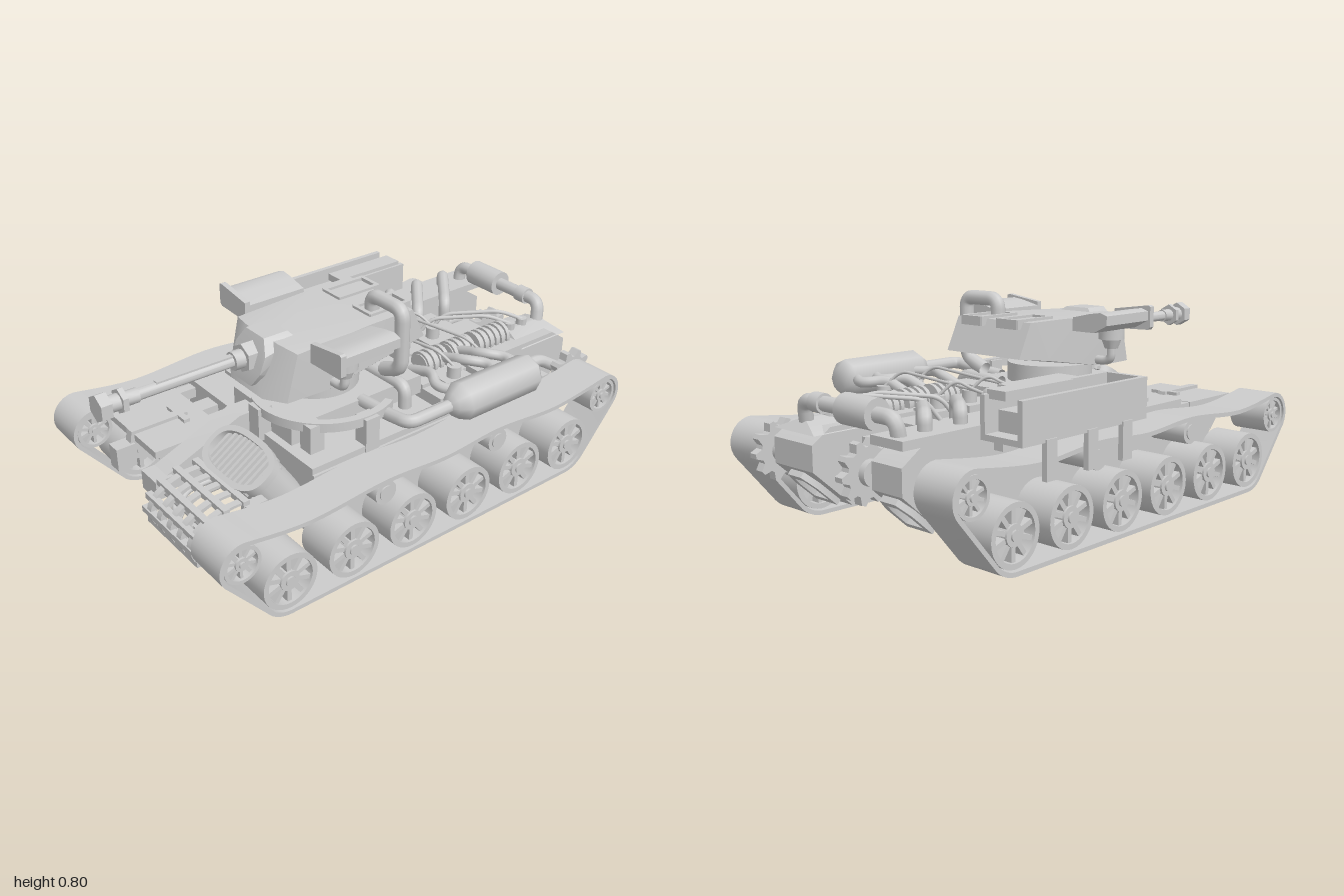
import * as THREE from 'three';
import { toCreasedNormals } from 'three/addons/utils/BufferGeometryUtils.js';
import { ConvexGeometry } from 'three/addons/geometries/ConvexGeometry.js';

const V = (x, y, z) => new THREE.Vector3(x, y, z);
const P = (x, y) => new THREE.Vector2(x, y);
const mat = new THREE.MeshStandardMaterial({ color: 0xcccccc, side: THREE.DoubleSide });

export function createModel() {
  const root = new THREE.Group();
  root.name = 'tank';

  const add = (name, geo, parent = root, smooth = false) => {
    const m = new THREE.Mesh(smooth ? geo : toCreasedNormals(geo, 0.6), mat);
    m.name = name;
    parent.add(m);
    return m;
  };
  const box = (name, x0, x1, y0, y1, z0, z1, parent) =>
    add(name, new THREE.BoxGeometry(x1 - x0, y1 - y0, z1 - z0)
      .translate((x0 + x1) / 2, (y0 + y1) / 2, (z0 + z1) / 2), parent);
  // cylinder between two points
  const rod = (name, a, b, r, sides = 20, r2 = r, parent = root) => {
    const d = b.clone().sub(a);
    const m = add(name, new THREE.CylinderGeometry(r2, r, d.length(), sides), parent);
    m.position.copy(a).add(b).multiplyScalar(0.5);
    m.quaternion.setFromUnitVectors(V(0, 1, 0), d.normalize());
  };
  // pipe through points with rounded corners
  const pipe = (name, pts, r, bend = 0.04) => {
    const v = pts.map(p => V(...p)), path = new THREE.CurvePath();
    let from = v[0];
    for (let i = 1; i < v.length - 1; i++) {
      const cut = q => v[i].clone().add(q.clone().sub(v[i]).setLength(Math.min(bend, v[i].distanceTo(q) * 0.45)));
      const a = cut(v[i - 1]), b = cut(v[i + 1]);
      path.add(new THREE.LineCurve3(from, a));
      path.add(new THREE.QuadraticBezierCurve3(a, v[i], b));
      from = b;
    }
    path.add(new THREE.LineCurve3(from, v[v.length - 1]));
    add(name, new THREE.TubeGeometry(path, 12 * v.length, r, 10), root, true);
  };
  // side profile given as (z, y), extruded from x0 to x1
  const profileX = (name, pts, x0, x1, hole, parent) => {
    const s = new THREE.Shape(pts);
    if (hole) s.holes.push(new THREE.Path(hole));
    add(name, new THREE.ExtrudeGeometry(s, { depth: x1 - x0, bevelEnabled: false })
      .rotateY(-Math.PI / 2).translate(x1, 0, 0), parent);
  };
  const yz = list => list.map(([z, y]) => P(z, y));

  // ---- running gear ----
  const trackLoop = t => {
    const pts = [];
    const arc = (cz, cy, r, a0, a1) => {
      for (let i = 0; i <= 10; i++) {
        const a = THREE.MathUtils.degToRad(a0 + (a1 - a0) * i / 10);
        pts.push(P(cz + (r - t) * Math.cos(a), cy + (r - t) * Math.sin(a)));
      }
    };
    arc(0.83, 0.287, 0.09, 90, -48);
    arc(0.65, 0.125, 0.125, -48, -90);
    arc(-0.68, 0.125, 0.125, -90, -138);
    arc(-0.86, 0.287, 0.09, -138, -270);
    const top = new THREE.SplineCurve(yz([[-0.86, 0.377], [-0.58, 0.345], [-0.28, 0.366],
      [-0.02, 0.35], [0.25, 0.366], [0.57, 0.345], [0.83, 0.377]]));
    top.getPoints(36).slice(1, -1).forEach(p => pts.push(P(p.x, p.y - t)));
    return pts;
  };
  const wheel = (name, parent, z, y, R) => {
    const g = new THREE.Group();
    g.name = name;
    g.position.set(0, y, z);
    g.scale.set(1, R, R);
    parent.add(g);
    const ring = [P(0.82, -0.078), P(1, -0.078), P(1, 0.078), P(0.82, 0.078), P(0.82, -0.078)];
    add('rim', new THREE.LatheGeometry(ring, 32).rotateZ(Math.PI / 2), g);
    add('disc', new THREE.CylinderGeometry(0.84, 0.84, 0.06, 32).rotateZ(Math.PI / 2), g);
    add('hub', new THREE.CylinderGeometry(0.35, 0.35, 0.15, 20).rotateZ(Math.PI / 2), g);
    add('axleCap', new THREE.CylinderGeometry(0.18, 0.18, 0.164, 12).rotateZ(Math.PI / 2), g);
    for (let i = 0; i < 10; i++)
      add('spoke', new THREE.BoxGeometry(0.135, 0.56, 0.16).translate(0, 0.57, 0).rotateX(i * Math.PI / 5), g);
  };
  for (const [name, cx] of [['left', 0.506], ['right', -0.484]]) {
    const g = new THREE.Group();
    g.name = name + 'RunningGear';
    g.position.x = cx;
    root.add(g);
    profileX('track', trackLoop(0), -0.084, 0.084, trackLoop(0.016), g);
    for (let i = 0; i < 6; i++) wheel('roadWheel', g, 0.65 - i * 0.266, 0.13, 0.108);
    wheel('idlerWheel', g, 0.83, 0.287, 0.07);
    wheel('driveWheel', g, -0.86, 0.287, 0.07);
    for (const z of [0.25, -0.28]) {
      rod('returnRoller', V(-0.078, 0.308, z), V(0.078, 0.308, z), 0.045, 24, 0.045, g);
      rod('rollerCap', V(-0.083, 0.308, z), V(0.083, 0.308, z), 0.028, 20, 0.028, g);
    }
  }

  // ---- hull: slightly recessed rear floor between skirts ----
  profileX('hull', yz([[0.43, 0.12], [-0.66, 0.12], [-0.72, 0.17], [-0.72, 0.36], [0.43, 0.36]]), -0.39, 0.42);
  box('frontBelly', -0.39, 0.42, 0.1, 0.13, 0.05, 0.43);
  for (const x of [-0.39, 0.38]) box('hullSkirt', x, x + 0.04, 0.1, 0.13, -0.66, 0.06);
  box('frontDeck', -0.39, 0.41, 0.36, 0.385, -0.1, 0.43);
  box('turretBase', -0.11, 0.25, 0.385, 0.46, -0.2, 0.4);
  rod('turretRing', V(0.015, 0.45, 0.12), V(0.015, 0.53, 0.12), 0.165, 32);
  box('deckHatch', -0.33, -0.15, 0.385, 0.4, 0.06, 0.3);
  box('engineWallRight', -0.39, -0.37, 0.36, 0.42, -0.7, -0.1);
  box('engineWallLeft', 0.39, 0.41, 0.36, 0.42, -0.62, -0.1);
  // curved guard rail beside the turret
  const arcShape = new THREE.Shape();
  arcShape.absarc(0, 0, 0.27, -0.5, 1.9, false);
  arcShape.absarc(0, 0, 0.24, 1.9, -0.5, true);
  add('guardRail', new THREE.ExtrudeGeometry(arcShape, { depth: 0.035, bevelEnabled: false, curveSegments: 20 })
    .rotateX(Math.PI / 2).translate(0.13, 0.495, 0.17));
  for (const a of [0, 0.8, 1.7]) {
    const x = 0.13 + 0.255 * Math.cos(a), z = 0.17 + 0.255 * Math.sin(a);
    box('railPost', x - 0.03, x + 0.03, 0.36, 0.49, z - 0.03, z + 0.03);
  }

  // front stowage chest, undercut, with planked face
  profileX('frontChest', yz([[0.43, 0.1], [0.5, 0.35], [0.76, 0.35], [0.76, 0.32], [0.54, 0.1]]), -0.37, -0.045);
  box('chestLid', -0.385, -0.035, 0.335, 0.362, 0.5, 0.78);
  const face = (t, out) => P(0.54 + 0.22 * t + 0.7 * out, 0.1 + 0.22 * t - 0.7 * out);
  for (let i = 0; i < 5; i++) {
    const a = 0.06 + i * 0.18, b = a + 0.165;
    profileX('chestPlank', [face(a, 0), face(b, 0), face(b, 0.01), face(a, 0.01)], -0.365, -0.05);
  }
  profileX('chestStrap', yz([[0.5, 0.11], [0.56, 0.375], [0.79, 0.375], [0.8, 0.32], [0.57, 0.1]]), -0.22, -0.185);
  box('strapBar', -0.265, -0.14, 0.36, 0.375, 0.575, 0.6);
  box('strapLatch', -0.232, -0.175, 0.24, 0.33, 0.785, 0.86);
  for (const [x0, x1] of [[-0.38, -0.34], [-0.25, -0.18], [-0.14, -0.09]]) box('chestHinge', x0, x1, 0.32, 0.36, 0.42, 0.52);
  // central nose beam and tow block
  profileX('noseBeam', yz([[0.4, 0.2], [0.4, 0.44], [0.48, 0.44], [0.8, 0.31], [0.8, 0.25], [0.6, 0.25]]), -0.035, 0.05);
  box('towBlock', -0.035, 0.065, 0.24, 0.315, 0.77, 0.84);
  rod('towBar', V(0, 0.28, 0.81), V(0.42, 0.28, 0.81), 0.016, 12);
  box('frontBracket', 0.38, 0.42, 0.25, 0.35, 0.62, 0.7);

  // bowed lattice guard
  const guard = new THREE.SplineCurve(yz([[0.68, 0.36], [0.79, 0.355], [0.88, 0.31], [0.905, 0.24], [0.85, 0.16], [0.72, 0.11]]));
  const shrink = (p, k) => P(0.6 + (p.x - 0.6) * k, 0.24 + (p.y - 0.24) * k);
  const outer = guard.getPoints(16);
  const inner = outer.map(p => shrink(p, 0.92)).reverse();
  for (let i = 0; i < 5; i++) profileX('guardUpright', [...outer, ...inner], 0.112 + i * 0.064, 0.138 + i * 0.064);
  for (let i = 0; i < 8; i++) {
    const p = shrink(guard.getPoint(0.04 + i * 0.131), 0.97);
    box('guardBar', 0.085, 0.405, p.y - 0.011, p.y + 0.011, p.x - 0.012, p.x + 0.012);
  }
  for (const y of [0.14, 0.18, 0.22]) pipe('guardStrut', [[0.02, y + 0.02, 0.42], [0.02, y + 0.02, 0.7], [0.1, y - 0.01, 0.8], [0.14, y - 0.01, 0.8]], 0.012);

  // oval slatted basket, tipped forward
  const basket = new THREE.Group();
  basket.name = 'basket';
  basket.position.set(0.235, 0.405, 0.605);
  basket.rotation.x = 0.58;
  root.add(basket);
  const oval = (rx, ry) => Array.from({ length: 40 }, (_, i) => {
    const a = i * Math.PI / 20, f = v => Math.sign(v) * Math.abs(v) ** 0.75;
    return P(rx * f(Math.cos(a)), ry * f(Math.sin(a)));
  });
  const hoop = (name, rx, ry, t, depth, y) => {
    const s = new THREE.Shape(oval(rx, ry));
    s.holes.push(new THREE.Path(oval(rx - t, ry - t)));
    add(name, new THREE.ExtrudeGeometry(s, { depth, bevelEnabled: false }).rotateX(Math.PI / 2).translate(0, y, 0), basket);
  };
  hoop('basketWall', 0.158, 0.088, 0.012, 0.22, 0);
  hoop('basketRim', 0.168, 0.096, 0.022, 0.03, 0.015);
  box('basketFloor', -0.13, 0.13, -0.05, -0.04, -0.07, 0.07, basket);
  for (let i = -5; i <= 5; i++) box('basketSlat', i * 0.025 - 0.006, i * 0.025 + 0.006, -0.015, 0, -0.08, 0.08, basket);

  // ---- turret ----
  const hullOf = (name, pts) => add(name, new ConvexGeometry(pts.flatMap(([x, y, z]) => [V(0.015 + x, y, z), V(0.015 - x, y, z)])));
  hullOf('turretBody', [[0.1, 0.52, 0.425], [0.18, 0.52, 0.375], [0.19, 0.52, 0.2], [0.19, 0.57, -0.1],
    [0.1, 0.71, 0.35], [0.185, 0.7, 0.33], [0.185, 0.715, 0], [0.185, 0.715, -0.19], [0.185, 0.59, -0.25]]);
  hullOf('mantlet', [[0.045, 0.55, 0.435], [0.09, 0.61, 0.425], [0.09, 0.67, 0.4], [0.055, 0.725, 0.38],
    [0.055, 0.725, 0.28], [0.09, 0.7, 0.26], [0.045, 0.55, 0.3]]);
  // rear roof vents
  for (const x of [-0.08, 0.1]) {
    box('ventPanel', x - 0.03, x + 0.03, 0.69, 0.717, -0.2, -0.05);
    for (const s of [-1, 1]) {
      box('ventFrameSide', x + s * 0.045 - 0.008, x + s * 0.045 + 0.008, 0.69, 0.725, -0.22, -0.03);
      box('ventFrameEnd', x - 0.05, x + 0.05, 0.69, 0.725, -0.125 + s * 0.09 - 0.008, -0.125 + s * 0.09 + 0.008);
    }
  }
  // gun: [start z, end z, radius, sides]
  for (const [z0, z1, r, n] of [[0.36, 0.44, 0.055, 6], [0.43, 0.48, 0.035, 12], [0.47, 0.89, 0.021, 16], [0.85, 0.9, 0.026, 12],
    [0.9, 0.92, 0.046, 6], [0.91, 0.965, 0.03, 12], [0.96, 1, 0.05, 6]]) rod('gunSection', V(0.015, 0.645, z0), V(0.015, 0.645, z1), r, n);
  box('barrelRail', 0.005, 0.025, 0.655, 0.67, 0.4, 0.78);
  // side pods: front plate, arched body, cup and feed pipe
  for (const s of [-1, 1]) {
    const X = d => 0.014 + s * d;
    const slab = (name, pts, z, depth) => {
      const shape = new THREE.Shape(pts.map(([d, y]) => P(X(d), y)));
      add(name, new THREE.ExtrudeGeometry(shape, { depth, bevelEnabled: false }).translate(0, 0, z));
    };
    slab('podFrontPlate', [[0.2, 0.66], [0.36, 0.665], [0.37, 0.675], [0.37, 0.752], [0.36, 0.757], [0.2, 0.735]], 0.265, 0.022);
    slab('podBody', [[0.2, 0.67], [0.3, 0.67], [0.36, 0.7], [0.36, 0.735], [0.33, 0.745], [0.28, 0.738], [0.2, 0.72]], 0.02, 0.25);
    rod('podCollar', V(X(0.255), 0.63, 0.18), V(X(0.255), 0.672, 0.18), 0.048);
    rod('podCup', V(X(0.255), 0.595, 0.18), V(X(0.255), 0.635, 0.18), 0.025, 20, 0.04);
    pipe('podPipe', [[X(0.255), 0.61, 0.18], [X(0.255), 0.545, 0.18], [X(0.15), 0.545, 0.18]], 0.017);
  }
  pipe('snorkel', [[0.105, 0.68, -0.075], [0.105, 0.775, -0.075], [0.275, 0.775, -0.075], [0.275, 0.54, -0.075], [0.18, 0.5, -0.075]], 0.028);

  // ---- side stowage tray, open at the rear ----
  box('trayFloor', -0.59, -0.41, 0.41, 0.43, -0.68, -0.06);
  box('trayOuterWall', -0.59, -0.57, 0.41, 0.555, -0.68, -0.06);
  box('trayInnerWall', -0.43, -0.41, 0.41, 0.555, -0.68, -0.06);
  box('trayFrontEnd', -0.58, -0.42, 0.42, 0.555, -0.08, -0.06);
  box('trayLoad', -0.56, -0.43, 0.43, 0.5, -0.62, -0.1);
  box('trayLid', -0.5, -0.42, 0.54, 0.57, -0.66, -0.34);
  for (const z of [-0.55, -0.35, -0.17]) box('trayLeg', -0.595, -0.575, 0.285, 0.42, z - 0.025, z + 0.025);
  box('trayBracket', -0.43, -0.37, 0.36, 0.43, -0.6, -0.15);
  // octagonal fuel tank and feed
  const tank = [P(0, -0.53), P(0.045, -0.53), P(0.074, -0.5), P(0.074, -0.16), P(0.045, -0.12), P(0.02, -0.1), P(0, -0.1)];
  add('fuelTank', new THREE.LatheGeometry(tank, 8).rotateX(Math.PI / 2).translate(0.5, 0.478, 0), root, true);
  pipe('fuelFeed', [[0.5, 0.478, -0.12], [0.5, 0.478, 0.08], [0.38, 0.46, 0.08], [0.24, 0.45, 0.08]], 0.024);
  for (const z of [-0.47, -0.38, -0.22])
    pipe('tankPipe', [[0.18, 0.45, z + 0.01], [0.3, 0.49, z + 0.01], [0.37, 0.48, z > -0.3 ? z + 0.06 : z - 0.06], [0.47, 0.48, z]], 0.02);
  pipe('coolantPipe', [[0.08, 0.46, -0.085], [0.29, 0.47, -0.085], [0.29, 0.38, -0.085]], 0.025);

  // ---- engine bay and rear ----
  const horn = yz([[-0.62, 0.14], [-0.2, 0.36], [-0.2, 0.42], [-0.91, 0.42], [-0.985, 0.37], [-0.985, 0.28], [-0.83, 0.14]]);
  const dLoop = (w, h) => [P(-w, -h), P(w, -h), P(w, h * 0.3), P(w * 0.6, h), P(-w * 0.6, h), P(-w, h * 0.3)];
  for (const [x0, x1] of [[-0.39, -0.25], [0.05, 0.26]]) {
    profileX('rearHousing', horn, x0, x1);
    const s = new THREE.Shape(dLoop(0.06, 0.085));
    s.holes.push(new THREE.Path(dLoop(0.038, 0.058)));
    const port = add('housingPort', new THREE.ExtrudeGeometry(s, { depth: 0.03, bevelEnabled: false }));
    port.position.set((x0 + x1) / 2, 0.195, -0.922);
    port.rotation.x = -0.84;
  }
  hullOf('rearCover', [[0.01, 0.44, -0.94], [0.01, 0.44, -0.75], [0.11, 0.4, -0.98], [0.11, 0.4, -0.73]]).position.x = 0.14;
  box('valveCover', -0.39, -0.24, 0.42, 0.45, -0.98, -0.43);
  box('airBox', -0.38, -0.24, 0.41, 0.535, -0.43, -0.12);
  box('engineBlock', -0.2, 0.36, 0.35, 0.405, -0.66, -0.2);
  box('transmission', -0.18, 0.04, 0.2, 0.37, -0.79, -0.62);
  for (const [z0, z1] of [[-0.72, -0.57], [-0.53, -0.42], [-0.39, -0.28]]) {
    rod('finnedCore', V(0.15, 0.43, z0), V(0.15, 0.43, z1), 0.045, 16);
    for (let z = z0; z <= z1 + 0.001; z += 0.03) rod('coolingFin', V(0.15, 0.43, z), V(0.15, 0.43, z + 0.015), 0.055, 16);
  }
  for (const z of [-0.485, -0.33]) for (const x of [0, 0.29]) {
    box('cylinderHead', x - 0.06, x + 0.06, 0.39, 0.43, z - 0.06, z + 0.06);
    rod('sparkPlug', V(x, 0.42, z), V(x, 0.475, z), 0.028, 12);
    pipe('ignitionLead', [[x, 0.47, z], [x - 0.05, 0.53, z + 0.04], [-0.12, 0.5, z + 0.06], [-0.3, 0.48, z + 0.05]], 0.006);
  }
  // exhaust pipes, muffler and drive gears
  for (const z of [-0.83, -0.68, -0.53])
    pipe('exhaustStub', [[-0.32, 0.44, z], [-0.32, 0.5, z], [-0.13, 0.48, z + 0.16], [-0.13, 0.39, z + 0.16]], 0.024);
  pipe('exhaustCrossPipe', [[-0.32, 0.42, -0.93], [-0.32, 0.505, -0.945], [0.14, 0.505, -0.945], [0.16, 0.39, -0.92]], 0.026);
  rod('muffler', V(-0.235, 0.505, -0.945), V(-0.08, 0.505, -0.945), 0.052, 16);
  rod('pipeCollar', V(0.03, 0.505, -0.945), V(0.08, 0.505, -0.945), 0.034, 16);
  for (const z of [-0.84, -0.77]) {
    rod('fillerCap', V(0.15, 0.42, z), V(0.15, 0.465, z), 0.022, 12);
    pipe('oilLine', [[0.15, 0.46, z], [0.1, 0.5, z + 0.08], [-0.05, 0.48, z + 0.25], [-0.08, 0.4, z + 0.3]], 0.008);
  }
  const teeth = Array.from({ length: 40 }, (_, i) => {
    const r = i % 4 < 2 ? 0.11 : 0.085, a = i * Math.PI / 20;
    return P(-0.88 + r * Math.cos(a), 0.29 + r * Math.sin(a));
  });
  for (const x of [-0.09, 0.385]) {
    profileX('driveGear', teeth, x - 0.018, x + 0.018);
    rod('gearHub', V(x - 0.045, 0.29, -0.88), V(x + 0.045, 0.29, -0.88), 0.045);
    pipe('gearArm', [[x - 0.05, 0.37, -0.62], [x - 0.05, 0.38, -0.75], [x - 0.04, 0.3, -0.88]], 0.024);
  }
  return root;
}
